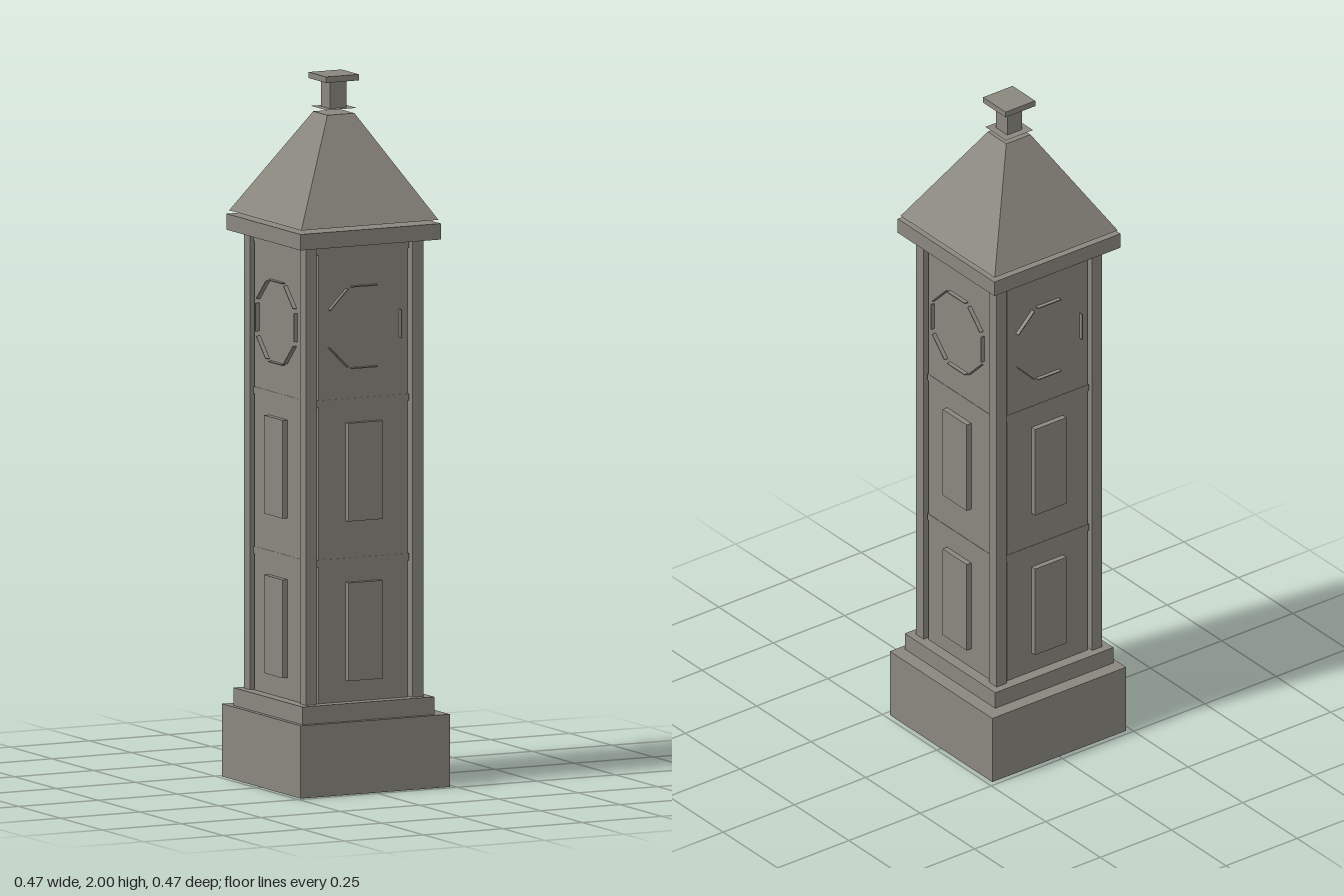
import * as THREE from 'three';

const stone = new THREE.MeshStandardMaterial({ color: 0x8a877f, side: THREE.DoubleSide });
stone.name = 'grey stone';

function add(parent, name, geometry, x = 0, y = 0, z = 0) {
  const mesh = new THREE.Mesh(geometry, stone);
  mesh.name = name;
  mesh.position.set(x, y, z);
  parent.add(mesh);
  return mesh;
}

// Box standing between two heights
function block(parent, name, w, y0, y1, d, x = 0, z = 0) {
  return add(parent, name, new THREE.BoxGeometry(w, y1 - y0, d), x, (y0 + y1) / 2, z);
}

// One side of the tower, built facing +z
function createSide(index) {
  const side = new THREE.Group();
  side.name = 'towerSide';
  const face = 0.175;

  // Wall panels, separated by narrow rails
  for (const [y0, y1] of [[0.255, 0.64], [0.66, 1.09], [1.11, 1.52]])
    block(side, 'wallPanel', 0.282, y0, y1, 0.01, 0, face - 0.005);
  for (const [y0, y1] of [[0.64, 0.66], [1.09, 1.11], [1.52, 1.545]])
    block(side, 'rail', 0.29, y0, y1, 0.012, 0, face - 0.005);

  // Raised window panels
  for (const y of [0.315, 0.765])
    block(side, 'windowPanel', 0.11, y, y + 0.277, 0.016, 0, face + 0.008);

  // Eight-sided clock rim made of thin slats, broken on front and back
  const radius = 0.115;
  const slats = index % 2 ? [0, 1, 2, 3, 4, 5, 6, 7] : [0, 2, 3, 5, 6];
  for (const i of slats) {
    const a = i * Math.PI / 4;
    const slat = add(side, 'clockRim', new THREE.BoxGeometry(0.003, 0.08, 0.012),
      Math.cos(a) * radius, 1.31 + Math.sin(a) * radius, face + 0.006);
    slat.rotation.z = a;
  }
  side.rotation.y = index * Math.PI / 2;
  return side;
}

export function createModel() {
  const model = new THREE.Group();
  model.name = 'clockTower';
  block(model, 'base', 0.47, 0, 0.205, 0.47);

  // Everything above the base stands slightly off its centre
  const tower = new THREE.Group();
  tower.name = 'tower';
  tower.position.set(-0.0135, 0, 0.0125);
  model.add(tower);

  block(tower, 'plinth', 0.415, 0.205, 0.255, 0.415);
  for (const x of [-1, 1]) for (const z of [-1, 1])
    block(tower, 'cornerPillar', 0.035, 0.255, 1.545, 0.035, x * 0.1675, z * 0.1675);
  for (let i = 0; i < 4; i++) tower.add(createSide(i));
  block(tower, 'cornice', 0.443, 1.545, 1.59, 0.443);

  // Four-sided tapering roof
  const roof = new THREE.CylinderGeometry(0.0425 * Math.SQRT2, 0.216 * Math.SQRT2, 0.29, 4)
    .rotateY(Math.PI / 4).toNonIndexed();
  roof.computeVertexNormals();
  add(tower, 'roof', roof, 0, 1.745, 0);

  // Finial: thin foot plate, post and cap
  add(tower, 'finialFoot', new THREE.PlaneGeometry(0.095, 0.095).rotateX(-Math.PI / 2), 0, 1.905, 0);
  block(tower, 'finialPost', 0.052, 1.905, 1.983, 0.052);
  block(tower, 'finialCap', 0.104, 1.983, 2, 0.104);
  return model;
}
